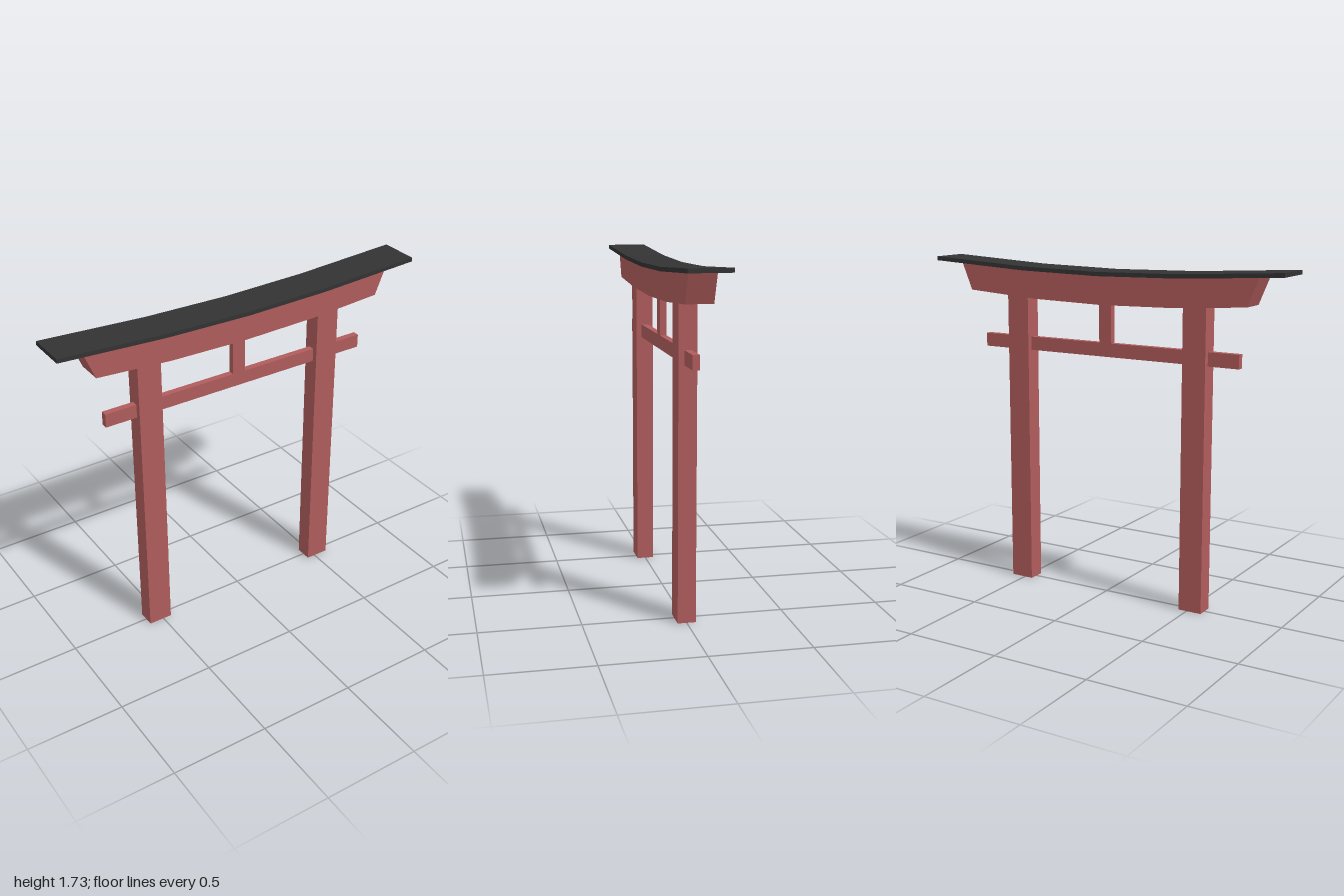
import * as THREE from 'three';

const red = new THREE.MeshStandardMaterial({ color: 0xb05c5c, flatShading: true, side: THREE.DoubleSide });
const black = new THREE.MeshStandardMaterial({ color: 0x333333, flatShading: true });

// Curved bar: an outline of [x, y] points, mirrored in x, extruded evenly about z = 0.
// Each half runs from the centre line outwards.
function curvedBar(name, lower, upper, depth, material) {
  const mirror = (half) => [...half.slice(1).reverse().map(([x, y]) => [-x, y]), ...half];
  const outline = [...mirror(lower), ...mirror(upper).reverse()];
  const shape = new THREE.Shape(outline.map(([x, y]) => new THREE.Vector2(x, y)));
  const geometry = new THREE.ExtrudeGeometry(shape, { depth, bevelEnabled: false });
  geometry.translate(0, 0, -depth / 2);
  const mesh = new THREE.Mesh(geometry, material);
  mesh.name = name;
  return mesh;
}

// Box standing on y0 and reaching y1
function post(name, width, y0, y1, depth, x = 0) {
  const mesh = new THREE.Mesh(new THREE.BoxGeometry(width, y1 - y0, depth), red);
  mesh.position.set(x, (y0 + y1) / 2, 0);
  mesh.name = name;
  return mesh;
}

export function createModel() {
  const gate = new THREE.Group();
  gate.name = 'gate';

  // Pillars, hollow and open at the foot
  for (const side of [1, -1]) {
    const pillar = post(side > 0 ? 'leftPillar' : 'rightPillar', 0.125, 0, 1.548, 0.09, side * 0.517);
    const index = Array.from(pillar.geometry.index.array);
    index.splice(18, 6); // drop the bottom face
    pillar.geometry.setIndex(index);
    gate.add(pillar);
  }

  // Tie beam through the pillars and the short strut above it
  gate.add(post('tieBeam', 1.49, 1.26, 1.33, 0.034));
  gate.add(post('centreStrut', 0.07, 1.33, 1.535, 0.034));

  // Upper beam, curved below and flared at the ends
  const roofUnder = [[0, 1.674], [0.45, 1.683], [1, 1.713]];
  const beamLower = [[0, 1.528], [0.41, 1.537], [0.8, 1.563]];
  const beamUpper = [[0, 1.675], [0.45, 1.684], [0.86, 1.706]];
  gate.add(curvedBar('upperBeam', beamLower, beamUpper, 0.132, red));

  // Thin curved roof slab
  const roofTop = roofUnder.map(([x, y]) => [x, y + 0.021]);
  gate.add(curvedBar('roof', roofUnder, roofTop, 0.206, black));

  return gate;
}
